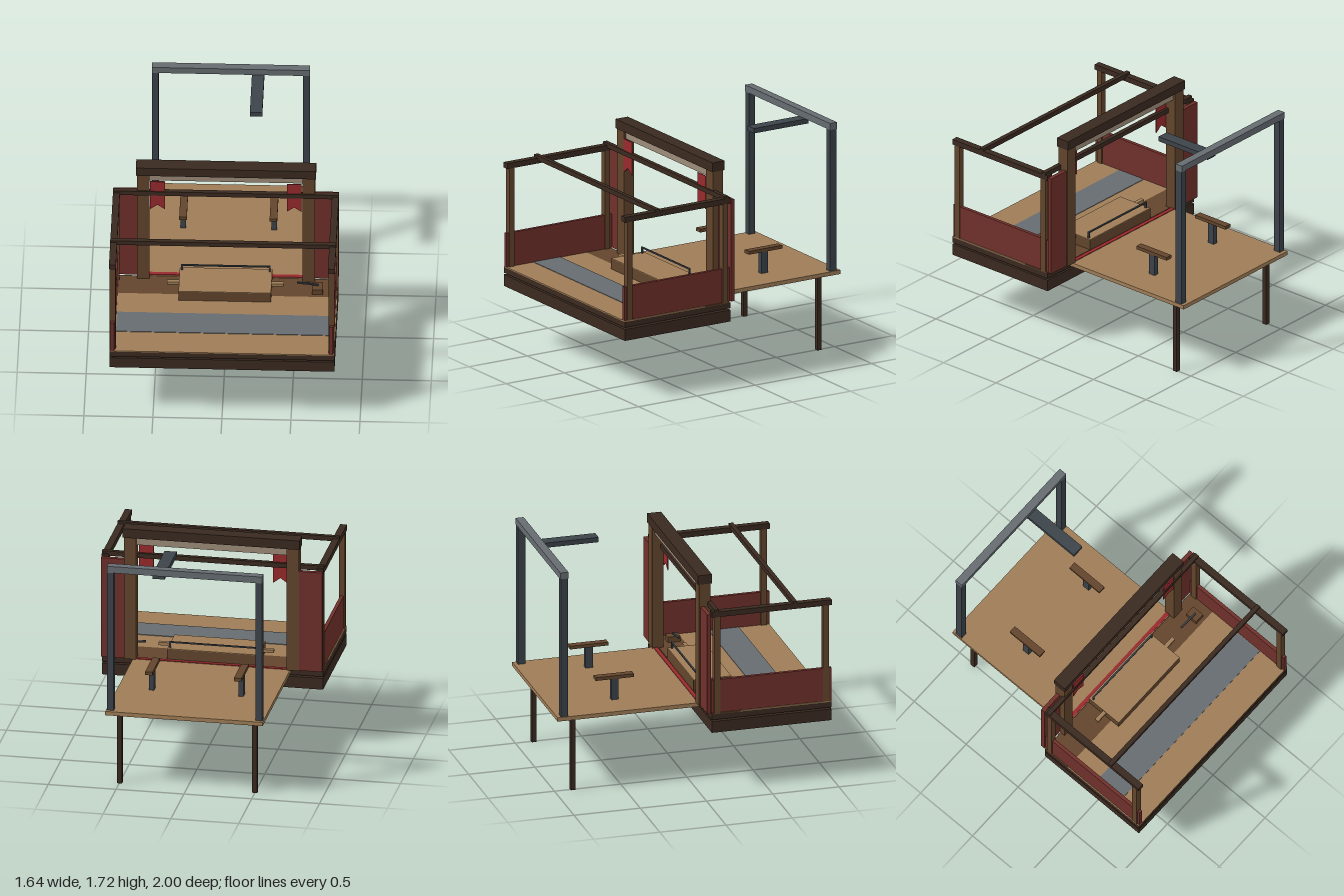
import * as THREE from 'three';

const mat = (name, color) => {
  const m = new THREE.MeshStandardMaterial({ color });
  m.name = name;
  return m;
};

export function createModel() {
  const model = new THREE.Group();
  model.name = 'openStage';

  const dark = mat('darkTimber', 0x3a2a20);
  const brown = mat('brownTimber', 0x62452c);
  const tan = mat('tanBoards', 0x9f7d57);
  const grey = mat('greySteel', 0x666c71);
  const slate = mat('slateSteel', 0x3c434a);
  const curtainRed = mat('curtainRed', 0x70302b);
  const bannerRed = mat('bannerRed', 0x982a2d);
  const beige = mat('beigeCloth', 0x9d8c79);

  // Box from its limits on each axis
  const box = (name, m, x0, x1, y0, y1, z0, z1) => {
    const mesh = new THREE.Mesh(new THREE.BoxGeometry(x1 - x0, y1 - y0, z1 - z0), m);
    mesh.position.set((x0 + x1) / 2, (y0 + y1) / 2, (z0 + z1) / 2);
    mesh.name = name;
    model.add(mesh);
    return mesh;
  };
  // The same box on both sides of the model
  const pair = (name, m, x0, x1, y0, y1, z0, z1) => {
    box(name + 'Left', m, x0, x1, y0, y1, z0, z1);
    box(name + 'Right', m, -x1, -x0, y0, y1, z0, z1);
  };

  // Front platform: two dark slabs with a narrow gap, boards on top
  box('baseSlab', dark, -0.815, 0.815, 0.45, 0.537, 0.095, 1);
  box('upperSlab', dark, -0.815, 0.815, 0.55, 0.592, 0.095, 1);
  box('frontDeck', tan, -0.815, 0.815, 0.592, 0.6, 0.312, 1);
  box('innerDeck', brown, -0.815, 0.815, 0.592, 0.6, 0.1, 0.312);
  box('walkwayStripe', grey, -0.775, 0.775, 0.6, 0.604, 0.54, 0.77);

  // Rear platform on two legs
  box('rearDeck', tan, -0.58, 0.58, 0.57, 0.6, -1, 0.095);
  pair('rearLeg', dark, 0.48, 0.517, 0, 0.57, -0.88, -0.845);

  // Open frame over the front platform
  pair('frontPost', brown, 0.77, 0.815, 0.6, 1.345, 0.935, 0.98);
  pair('backPost', brown, 0.77, 0.815, 0.6, 1.345, 0.115, 0.16);
  pair('sideRail', dark, 0.768, 0.818, 1.345, 1.386, 0.095, 1);
  box('middleCrossbar', dark, -0.818, 0.818, 1.367, 1.403, 0.705, 0.738);
  box('backCrossbar', dark, -0.818, 0.818, 1.367, 1.403, 0.113, 0.146);
  pair('sidePanel', curtainRed, 0.78, 0.806, 0.6, 0.855, 0.095, 1);

  // Arch with curtains, rolled cloth and a red sill
  pair('archPost', brown, 0.555, 0.645, 0.6, 1.545, 0.05, 0.136);
  box('archBeam', dark, -0.652, 0.652, 1.545, 1.615, 0.04, 0.145);
  pair('curtain', curtainRed, 0.645, 0.815, 0.6, 1.37, 0.06, 0.09);
  box('curtainRoll', beige, -0.555, 0.555, 1.485, 1.533, 0.07, 0.118);
  box('redSill', bannerRed, -0.555, 0.555, 0.6, 0.605, 0.06, 0.09);

  // Swallow-tailed banners
  const tail = new THREE.Shape([
    [-0.054, 0.25], [-0.054, 0], [0, 0.04], [0.054, 0], [0.054, 0.25],
  ].map(([x, y]) => new THREE.Vector2(x, y)));
  const bannerGeometry = new THREE.ExtrudeGeometry(tail, { depth: 0.008, bevelEnabled: false });
  for (const [side, s] of [['Left', 1], ['Right', -1]]) {
    const banner = new THREE.Mesh(bannerGeometry, bannerRed);
    banner.name = 'banner' + side;
    banner.position.set(s * 0.495, 1.24, 0.132);
    model.add(banner);
  }

  // Low counter with side shelves and a thin rail
  box('counter', brown, -0.335, 0.335, 0.6, 0.677, 0.1, 0.385);
  box('counterTop', tan, -0.335, 0.335, 0.677, 0.682, 0.1, 0.385);
  pair('counterShelf', tan, 0.335, 0.423, 0.651, 0.674, 0.235, 0.265);
  pair('railPost', slate, 0.312, 0.324, 0.682, 0.73, 0.122, 0.134);
  box('railBar', slate, -0.324, 0.324, 0.72, 0.73, 0.122, 0.134);

  // Lever on its block
  box('leverBlock', brown, 0.63, 0.706, 0.6, 0.642, 0.19, 0.285);
  const lever = box('lever', slate, 0.518, 0.675, 0.658, 0.67, 0.234, 0.246);
  lever.rotation.z = -0.11;

  // Stands on the rear platform
  pair('standPost', slate, 0.311, 0.348, 0.6, 0.763, -0.525, -0.47);
  pair('standTop', brown, 0.3, 0.355, 0.763, 0.788, -0.645, -0.357);

  // Steel gantry with a forward arm
  pair('gantryPost', slate, 0.523, 0.572, 0.6, 1.67, -0.972, -0.918);
  box('gantryBeam', grey, -0.572, 0.572, 1.67, 1.72, -0.977, -0.916);
  box('gantryArm', slate, 0.153, 0.243, 1.633, 1.67, -0.94, -0.473);

  return model;
}
